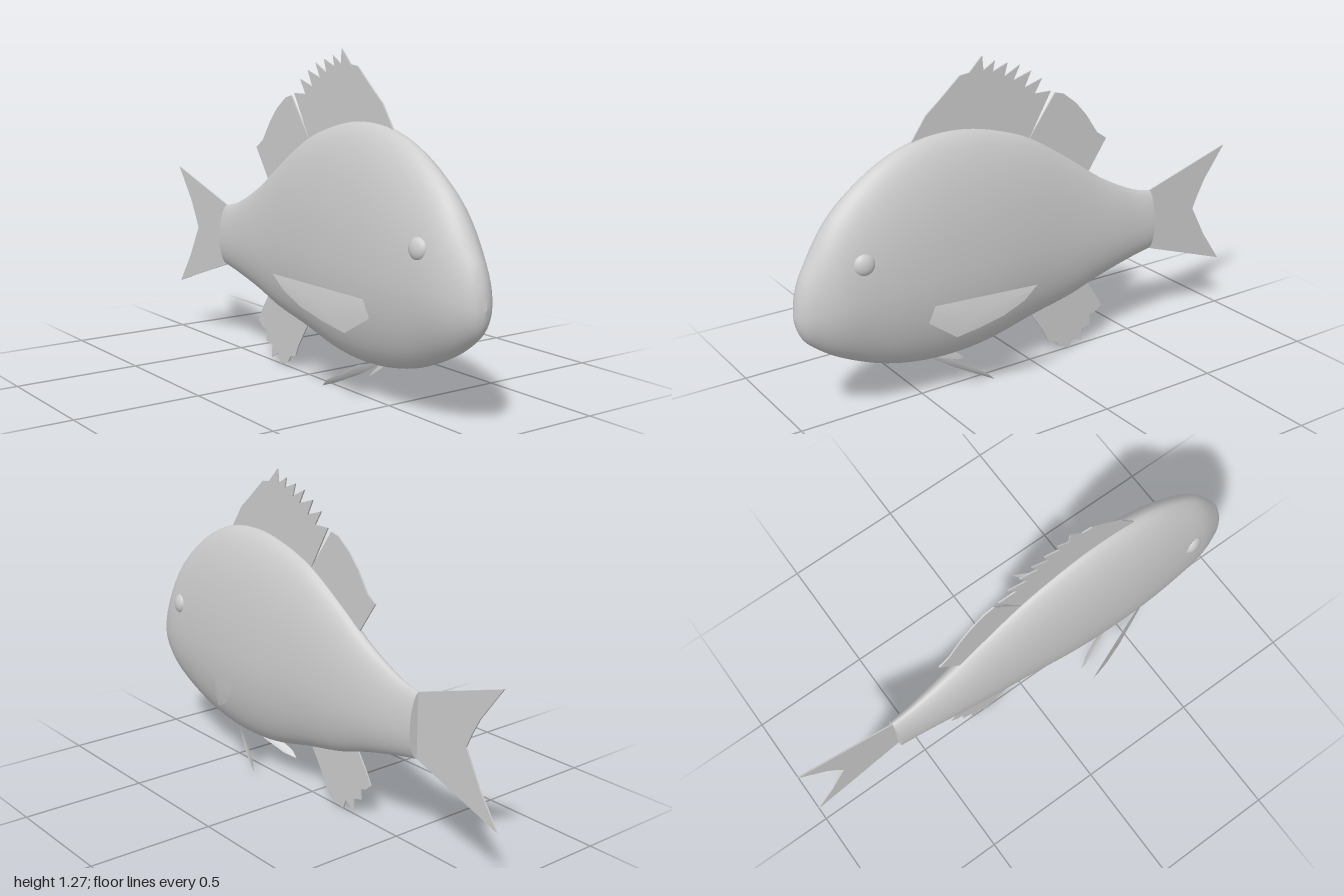
import * as THREE from 'three';

const grey = new THREE.MeshStandardMaterial({ color: 0xcccccc, side: THREE.DoubleSide });
grey.name = 'light grey';

// Body stations: z, top y, bottom y, half width
const STATIONS = [
  [1, 0.45, 0.45, 0], [0.985, 0.545, 0.385, 0.035], [0.945, 0.64, 0.33, 0.066],
  [0.84, 0.8, 0.257, 0.105], [0.68, 0.93, 0.187, 0.123], [0.52, 1.0, 0.15, 0.13],
  [0.36, 1.02, 0.14, 0.128], [0.2, 1.0, 0.155, 0.12], [0.01, 0.936, 0.2, 0.103],
  [-0.18, 0.82, 0.24, 0.083], [-0.34, 0.71, 0.29, 0.066], [-0.5, 0.63, 0.33, 0.048],
  [-0.6, 0.605, 0.35, 0.04],
];

function makeGeometry(positions, index) {
  const g = new THREE.BufferGeometry();
  g.setAttribute('position', new THREE.Float32BufferAttribute(positions, 3));
  g.setIndex(index);
  g.computeVertexNormals();
  return g;
}

function addMesh(group, name, geometry) {
  const mesh = new THREE.Mesh(geometry, grey);
  mesh.name = name;
  group.add(mesh);
  return mesh;
}

// Lofted body of slightly pointed ovals, plus the flat end of the tail root
function addBody(group) {
  const curve = (pick) => new THREE.CatmullRomCurve3(STATIONS.map(pick), false, 'catmullrom', 0.5);
  const outline = curve(([z, top, bottom]) => new THREE.Vector3(z, top, bottom));
  const widths = curve((s) => new THREE.Vector3(s[3], 0, 0));
  const rings = 72, sides = 48, pos = [], index = [];
  for (let i = 0; i <= rings; i++) {
    const { x: z, y: top, z: bottom } = outline.getPoint(i / rings);
    const w = Math.max(0, widths.getPoint(i / rings).x);
    const mid = bottom + (top - bottom) * 0.43;
    for (let j = 0; j < sides; j++) {
      const a = (j / sides) * Math.PI * 2, s = Math.sin(a), c = Math.cos(a);
      pos.push(w * Math.sign(s) * Math.abs(s) ** 1.12, mid + c * (c > 0 ? top - mid : mid - bottom), z);
      if (i < rings) {
        const k = (j + 1) % sides, p = i * sides, q = p + sides;
        index.push(p + j, p + k, q + j, p + k, q + k, q + j);
      }
    }
  }
  addMesh(group, 'body', makeGeometry(pos, index));

  const cap = [0, 0.48, -0.6, ...pos.slice(rings * sides * 3)], capIndex = [];
  for (let j = 0; j < sides; j++) capIndex.push(0, 1 + j, 1 + ((j + 1) % sides));
  addMesh(group, 'tailRootEnd', makeGeometry(cap, capIndex));
}

// Thin upright fin on the centre plane, outlined in (z, y)
function addMedianFin(group, name, points, thickness = 0.006) {
  const shape = new THREE.Shape(points.map(([z, y]) => new THREE.Vector2(z, y)));
  const g = new THREE.ExtrudeGeometry(shape, { depth: thickness, bevelEnabled: false });
  g.translate(0, 0, -thickness / 2);
  g.rotateY(-Math.PI / 2);
  addMesh(group, name, g);
}

// Paired fin: a 3D outline swollen slightly at its middle, thin at the rim
function addSideFin(group, name, points, side, thickness) {
  const rim = points.map(([x, y, z]) => new THREE.Vector3(x * side, y, z));
  const n = rim.length;
  const centre = rim.reduce((sum, p) => sum.add(p), new THREE.Vector3()).divideScalar(n);
  const normal = new THREE.Vector3();
  rim.forEach((p, i) => {
    normal.add(p.clone().sub(centre).cross(rim[(i + 1) % n].clone().sub(centre)));
  });
  normal.normalize();
  const pos = [], index = [];
  for (const face of [1, -1]) {
    const base = pos.length / 3;
    pos.push(...centre.clone().addScaledVector(normal, face * thickness).toArray());
    rim.forEach((p) => pos.push(...p.toArray()));
    for (let i = 0; i < n; i++) {
      const a = base + 1 + i, b = base + 1 + ((i + 1) % n);
      index.push(base, ...(face > 0 ? [a, b] : [b, a]));
    }
  }
  addMesh(group, name, makeGeometry(pos, index));
}

export function createModel() {
  const fish = new THREE.Group();
  fish.name = 'fish';
  addBody(fish);

  // Fins along the centre line
  addMedianFin(fish, 'spinyDorsalFin', [
    [0.52, 0.99], [0.45, 1.09], [0.39, 1.14], [0.305, 1.215], [0.265, 1.22],
    [0.21, 1.275], [0.205, 1.22], [0.155, 1.25], [0.165, 1.21], [0.1, 1.235],
    [0.115, 1.185], [0.045, 1.22], [0.075, 1.165], [-0.005, 1.19], [0.025, 1.13],
    [-0.055, 1.155], [-0.02, 1.1], [-0.095, 1.1], [0.01, 0.92], [0.2, 0.96], [0.36, 0.98],
  ]);
  addMedianFin(fish, 'softDorsalFin', [
    [0.01, 0.92], [-0.115, 1.09], [-0.155, 1.08], [-0.215, 1.035], [-0.265, 0.98],
    [-0.32, 0.9], [-0.365, 0.87], [-0.275, 0.74], [-0.18, 0.79],
  ]);
  addMedianFin(fish, 'analFin', [
    [0, 0.21], [-0.07, 0.105], [-0.09, 0.06], [-0.125, 0.05], [-0.14, 0.025],
    [-0.195, 0.005], [-0.21, 0.045], [-0.258, 0.02], [-0.255, 0.07], [-0.3, 0.08],
    [-0.295, 0.125], [-0.325, 0.13], [-0.355, 0.155], [-0.325, 0.21], [-0.28, 0.275], [-0.18, 0.27],
  ]);
  addMedianFin(fish, 'tailFin', [
    [-0.58, 0.605], [-0.6, 0.605], [-1, 0.73], [-0.9, 0.595], [-0.865, 0.53], [-0.84, 0.475],
    [-0.87, 0.42], [-0.91, 0.345], [-1, 0.215], [-0.6, 0.35], [-0.58, 0.35],
  ]);

  // Mirrored fins and eyes
  for (const [side, label] of [[1, 'left'], [-1, 'right']]) {
    addSideFin(fish, label + 'PectoralFin', [
      [0.115, 0.41, 0.524], [0.272, 0.465, 0.155], [0.252, 0.405, 0.2], [0.225, 0.355, 0.27],
      [0.19, 0.315, 0.35], [0.15, 0.28, 0.43], [0.115, 0.345, 0.524],
    ], side, 0.008);
    addSideFin(fish, label + 'PelvicFin', [
      [0.02, 0.15, 0.465], [0.06, 0.145, 0.4], [0.088, 0.105, 0.335],
      [0.11, 0.065, 0.27], [0.11, 0.037, 0.243], [0.08, 0.055, 0.29], [0.045, 0.1, 0.38],
    ], side, 0.006);
    const eye = addMesh(fish, label + 'Eye', new THREE.SphereGeometry(0.04, 24, 16));
    eye.scale.x = 0.55;
    eye.position.set(side * 0.1, 0.63, 0.77);
    eye.rotation.set(0, side * -0.15, side * 0.12);
  }
  return fish;
}
